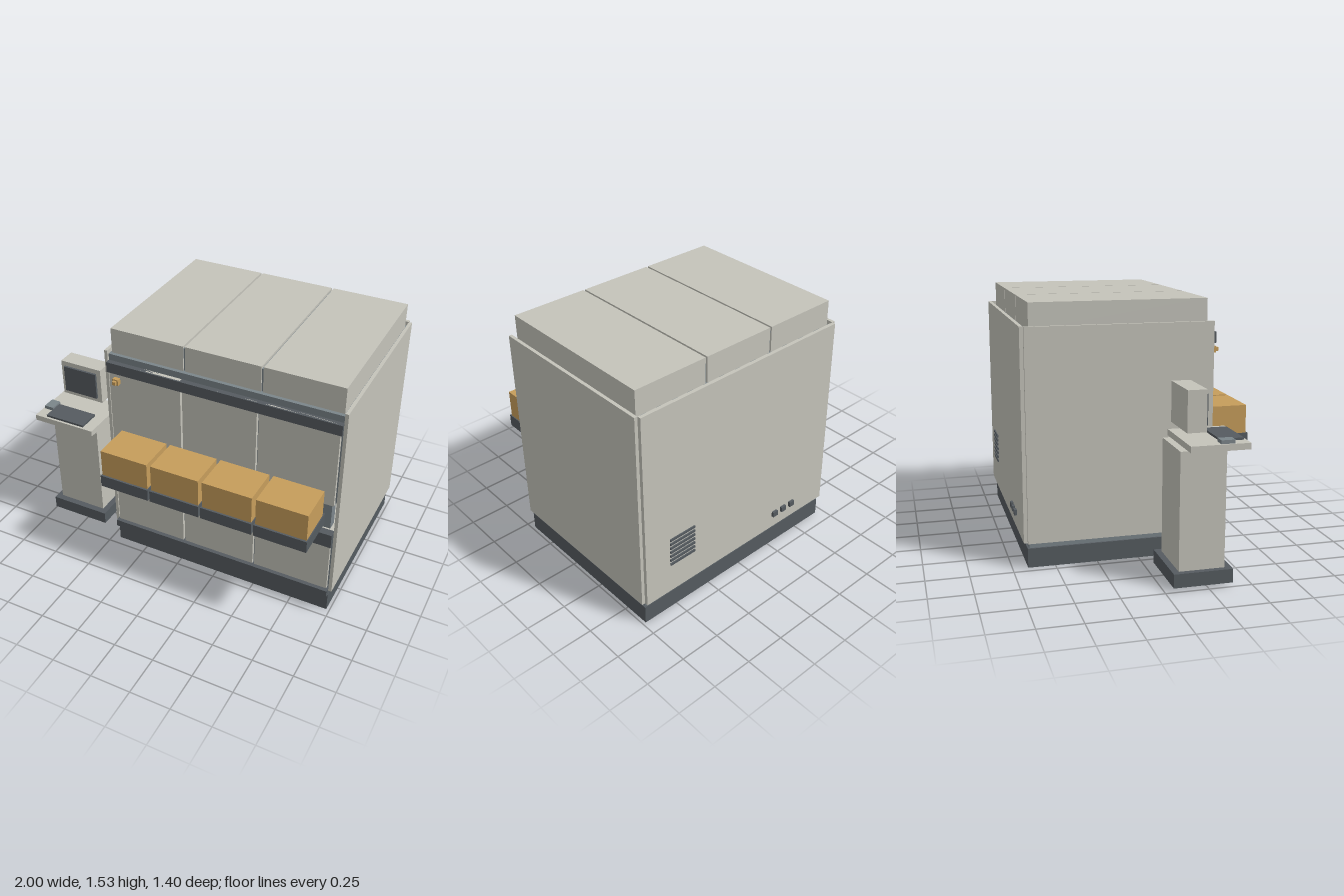
import * as THREE from 'three';

const material = (name, color) => {
  const m = new THREE.MeshStandardMaterial({ color });
  m.name = name;
  return m;
};

export function createModel() {
  const model = new THREE.Group();
  const panel = material('warm grey panel', 0xc4c3ba);
  const dark = material('charcoal', 0x555b60);
  const slate = material('slate', 0x7b858a);
  const amber = material('amber', 0xc69d5b);

  // Box given by its limits along x, y and z
  const box = (name, mat, x0, x1, y0, y1, z0, z1, parent = model) => {
    const mesh = new THREE.Mesh(new THREE.BoxGeometry(x1 - x0, y1 - y0, z1 - z0), mat);
    mesh.position.set((x0 + x1) / 2, (y0 + y1) / 2, (z0 + z1) / 2);
    mesh.name = name;
    parent.add(mesh);
    return mesh;
  };
  const group = (name) => {
    const g = new THREE.Group();
    g.name = name;
    model.add(g);
    return g;
  };

  // Cabinet base and outer shell
  const cabinet = group('cabinet');
  box('plinth', dark, -0.45, 0.98, 0, 0.115, -0.66, 0.445, cabinet);
  box('plinthRecess', slate, -0.44, 0.97, 0.115, 0.15, -0.65, 0.43, cabinet);
  box('rightSidePanel', panel, -0.47, -0.45, 0.15, 1.4, -0.66, 0.443, cabinet);
  box('leftSidePanel', panel, 0.98, 1.0, 0.15, 1.4, -0.66, 0.443, cabinet);
  box('backPanel', panel, -0.45, 0.98, 0.15, 1.4, -0.682, -0.66, cabinet);

  // Inner frame, leaving a loading opening across the front
  box('lowerFrame', slate, -0.45, 0.98, 0.15, 0.59, -0.66, 0.43, cabinet);
  box('upperFrame', slate, -0.45, 0.98, 0.8, 1.375, -0.66, 0.43, cabinet);
  box('innerBackWall', panel, -0.45, 0.98, 0.59, 0.8, -0.66, -0.62, cabinet);
  for (const [x0, x1] of [[-0.42, -0.36], [0.885, 0.95]]) {
    box('framePost', slate, x0, x1, 0.59, 0.8, 0.36, 0.42, cabinet);
  }
  box('deck', panel, -0.45, 0.98, 0.59, 0.6, -0.62, 0.43, cabinet);

  // Handling unit inside the opening
  box('turntablePlate', panel, 0.19, 0.54, 0.6, 0.61, -0.2, 0.15, cabinet);
  const turntable = new THREE.Mesh(new THREE.CylinderGeometry(0.08, 0.08, 0.03, 24), amber);
  turntable.position.set(0.36, 0.625, -0.02);
  turntable.name = 'turntable';
  cabinet.add(turntable);

  // Three bays of doors and roof covers
  for (const [x0, x1] of [[-0.44, 0.022], [0.034, 0.492], [0.504, 0.968]]) {
    box('lowerDoor', panel, x0, x1, 0.15, 0.6, 0.43, 0.45, cabinet);
    box('upperDoor', panel, x0, x1, 0.79, 1.335, 0.43, 0.452, cabinet);
    box('roofCover', panel, x0, x1, 1.375, 1.53, -0.63, 0.408, cabinet);
  }
  box('roofCore', slate, -0.43, 0.96, 1.375, 1.515, -0.62, 0.4, cabinet);

  // Horizontal front rails
  for (const [y0, y1, z1] of [[0.123, 0.17, 0.475], [0.51, 0.6, 0.477], [1.27, 1.335, 0.462]]) {
    box('frontRail', dark, -0.45, 0.98, y0, y1, 0.43, z1, cabinet);
  }

  // Load ports: a tray with a carrier box on each
  const ports = group('loadPorts');
  for (let i = 0; i < 4; i++) {
    const x = -0.228 + i * 0.3285;
    box('tray', dark, x - 0.158, x + 0.158, 0.63, 0.706, 0.43, 0.7, ports);
    box('carrier', amber, x - 0.152, x + 0.152, 0.706, 0.877, 0.453, 0.688, ports);
  }

  // Stop button on the upper door
  const button = group('stopButton');
  box('buttonPlate', amber, -0.405, -0.368, 1.207, 1.244, 0.452, 0.479, button);
  box('buttonCap', amber, -0.397, -0.376, 1.215, 1.236, 0.479, 0.496, button);

  // Vent slats and connectors on the back
  const rear = group('rearFittings');
  for (let i = 0; i < 7; i++) {
    const y = 0.35 + i * 0.0288;
    box('ventSlat', dark, 0.63, 0.81, y - 0.007, y + 0.007, -0.69, -0.682, rear);
  }
  for (let i = 0; i < 3; i++) {
    const x = -0.168 + i * 0.0725;
    box('connector', dark, x - 0.019, x + 0.019, 0.234, 0.268, -0.698, -0.682, rear);
  }

  // Operator terminal beside the cabinet
  const terminal = group('terminal');
  box('terminalBase', dark, -0.99, -0.6, 0.02, 0.1, 0.05, 0.39, terminal);
  box('terminalColumn', panel, -0.957, -0.637, 0.1, 0.775, 0.087, 0.35, terminal);
  box('terminalShelf', panel, -1.0, -0.59, 0.775, 0.811, 0.13, 0.47, terminal);
  box('monitor', panel, -0.935, -0.652, 0.867, 1.1, 0.13, 0.24, terminal);
  box('screen', dark, -0.91, -0.682, 0.897, 1.07, 0.24, 0.254, terminal);
  box('keyboard', dark, -0.927, -0.662, 0.811, 0.824, 0.317, 0.455, terminal);
  box('pointerPad', slate, -0.99, -0.93, 0.811, 0.832, 0.303, 0.383, terminal);

  return model;
}
